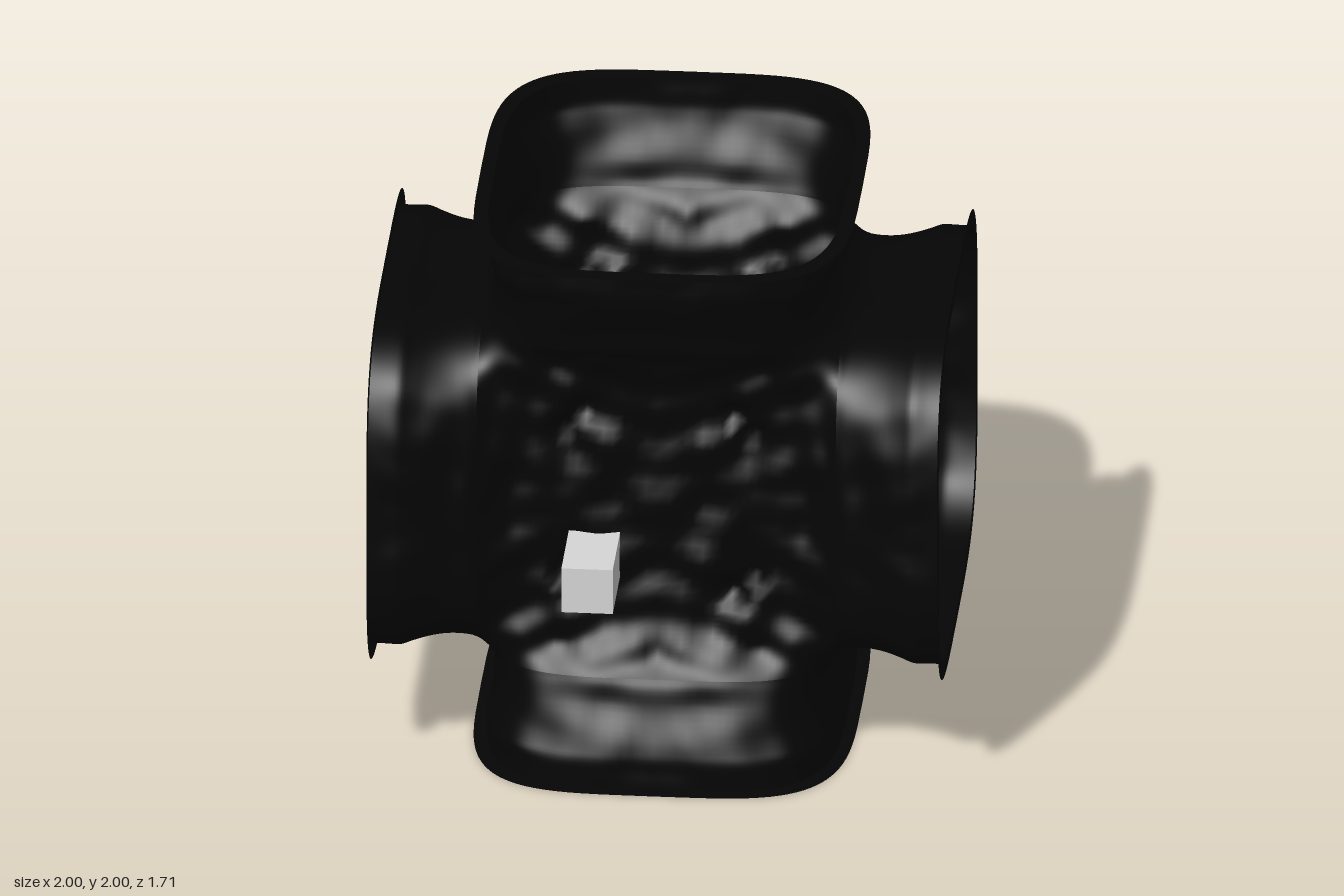
import * as THREE from 'three';
import { mergeGeometries, mergeVertices } from 'three/addons/utils/BufferGeometryUtils.js';

const CORNER = 0.63; // half width of the central crossing
const SEG = 88;

const black = new THREE.MeshStandardMaterial({ color: 0x050505, side: THREE.DoubleSide });
black.name = 'black rock';
const grey = new THREE.MeshStandardMaterial({ color: 0xd7d7d7 });
grey.name = 'light grey';

// Nodes from -1 to 1, closer together near the rounded edges
const node = (t) => Math.sign(t) * (1 - Math.pow(1 - Math.abs(t), 3));
const round = (k) => Math.pow(Math.max(0, 1 - Math.pow(k, 4)), 0.25);

// Grid surface from fn(s, t), both running 0..1
function grid(nu, nv, fn, flip) {
  const pos = [], idx = [];
  for (let j = 0; j <= nv; j++)
    for (let i = 0; i <= nu; i++) pos.push(...fn(i / nu, j / nv));
  for (let j = 0; j < nv; j++)
    for (let i = 0; i < nu; i++) {
      const a = j * (nu + 1) + i, b = a + 1, c = a + nu + 1, d = c + 1;
      if (flip) idx.push(a, d, b, a, c, d);
      else idx.push(a, b, d, a, d, c);
    }
  const g = new THREE.BufferGeometry();
  g.setAttribute('position', new THREE.Float32BufferAttribute(pos, 3));
  g.setIndex(idx);
  return g;
}

// Mirrored rocky relief, with a sharp hollow in each quarter of the wall
function relief(x, y) {
  const ax = Math.abs(x), ay = Math.abs(y);
  const hollow = (cx, cy) => Math.exp(-((ax - cx) ** 2 + (ay - cy) ** 2) / 0.002);
  return -0.07 * Math.max(hollow(0.27, 0.34), hollow(0.33, 0.28))
    + 0.016 * Math.sin(17 * ax + 2) * Math.cos(16 * ay)
    + 0.009 * Math.sin(31 * ax + 11 * ay) + 0.007 * Math.cos(37 * ay - 13 * ax);
}

// Sunken wall over the crossing; side is +1 front, -1 back
function crossingWall(side) {
  return grid(SEG, SEG, (s, t) => {
    const u = node(2 * s - 1), v = node(2 * t - 1);
    const inner = (1 - u ** 6) * (1 - v ** 6);
    const fade = Math.min(1, inner * 1.6);
    const depth = 0.67 - 0.115 * inner + fade * relief(u * CORNER, v * CORNER);
    return [u * CORNER, 1 + v * CORNER, side * depth * round(Math.abs(u * v))];
  }, side < 0);
}

// Arm profile: distance from centre, half width, half depth
const armProfile = new THREE.CatmullRomCurve3([
  [CORNER, CORNER, 0.67], [0.66, 0.611, 0.685], [0.72, 0.602, 0.702], [0.8, 0.602, 0.74],
  [0.86, 0.611, 0.767], [0.9, 0.624, 0.78], [0.95, 0.625, 0.78], [1, 0.625, 0.78],
].map((p) => new THREE.Vector3(...p)));

// Half of one flared arm, its narrow sides slightly pinched in the middle
function armHalf(upright, dir, side) {
  const flip = (upright ? -1 : 1) * dir * side < 0;
  return grid(24, SEG, (s, t) => {
    const p = armProfile.getPoint(s), v = node(2 * t - 1);
    const mid = Math.sin(Math.PI * s);
    const depth = (p.z + 0.4 * mid * relief(p.x, v * p.y)) * round(Math.abs(v));
    const pinch = 1 - 0.045 * mid * Math.max(0, 1 - depth / 0.3);
    const along = dir * p.x, across = v * p.y * pinch, z = side * depth;
    return upright ? [across, 1 + along, z] : [along, 1 + across, z];
  }, flip);
}

// Rounded-square outline
function outline(a, b) {
  const pts = [];
  for (let i = 0; i < 96; i++) {
    const t = (i / 96) * Math.PI * 2, c = Math.cos(t), s = Math.sin(t);
    pts.push(new THREE.Vector2(
      a * Math.sign(c) * Math.sqrt(Math.abs(c)), b * Math.sign(s) * Math.sqrt(Math.abs(s))));
  }
  return pts;
}

export function createModel() {
  const model = new THREE.Group();
  model.name = 'tunnelCrossing';

  // Shell: two crossing walls and four arms, welded for smooth shading
  const parts = [];
  for (const side of [1, -1]) {
    parts.push(crossingWall(side));
    for (const upright of [false, true])
      for (const dir of [1, -1]) parts.push(armHalf(upright, dir, side));
  }
  const shellGeometry = mergeVertices(mergeGeometries(parts), 1e-5);
  shellGeometry.computeVertexNormals();
  const shell = new THREE.Mesh(shellGeometry, black);
  shell.name = 'shell';
  model.add(shell);

  // Flat rim around each opening
  const rimShape = new THREE.Shape(outline(0.84, 0.67));
  rimShape.holes.push(new THREE.Path(outline(0.775, 0.62)));
  const rimGeometry = new THREE.ShapeGeometry(rimShape);
  rimGeometry.rotateY(Math.PI / 2); // faces +x, long side along z
  for (let i = 0; i < 4; i++) {
    const angle = (i * Math.PI) / 2;
    const rim = new THREE.Mesh(rimGeometry, black);
    rim.name = ['leftRim', 'topRim', 'rightRim', 'bottomRim'][i];
    rim.rotation.z = angle;
    rim.position.set(Math.cos(angle), 1 + Math.sin(angle), 0);
    model.add(rim);
  }

  // Blocks set into the front and back walls
  for (const side of [1, -1]) {
    const block = new THREE.Mesh(new THREE.BoxGeometry(0.18, 0.17, 0.34), grey);
    block.name = side > 0 ? 'frontBlock' : 'backBlock';
    block.position.set(-0.225, 0.795, side * 0.685);
    model.add(block);
  }
  return model;
}
